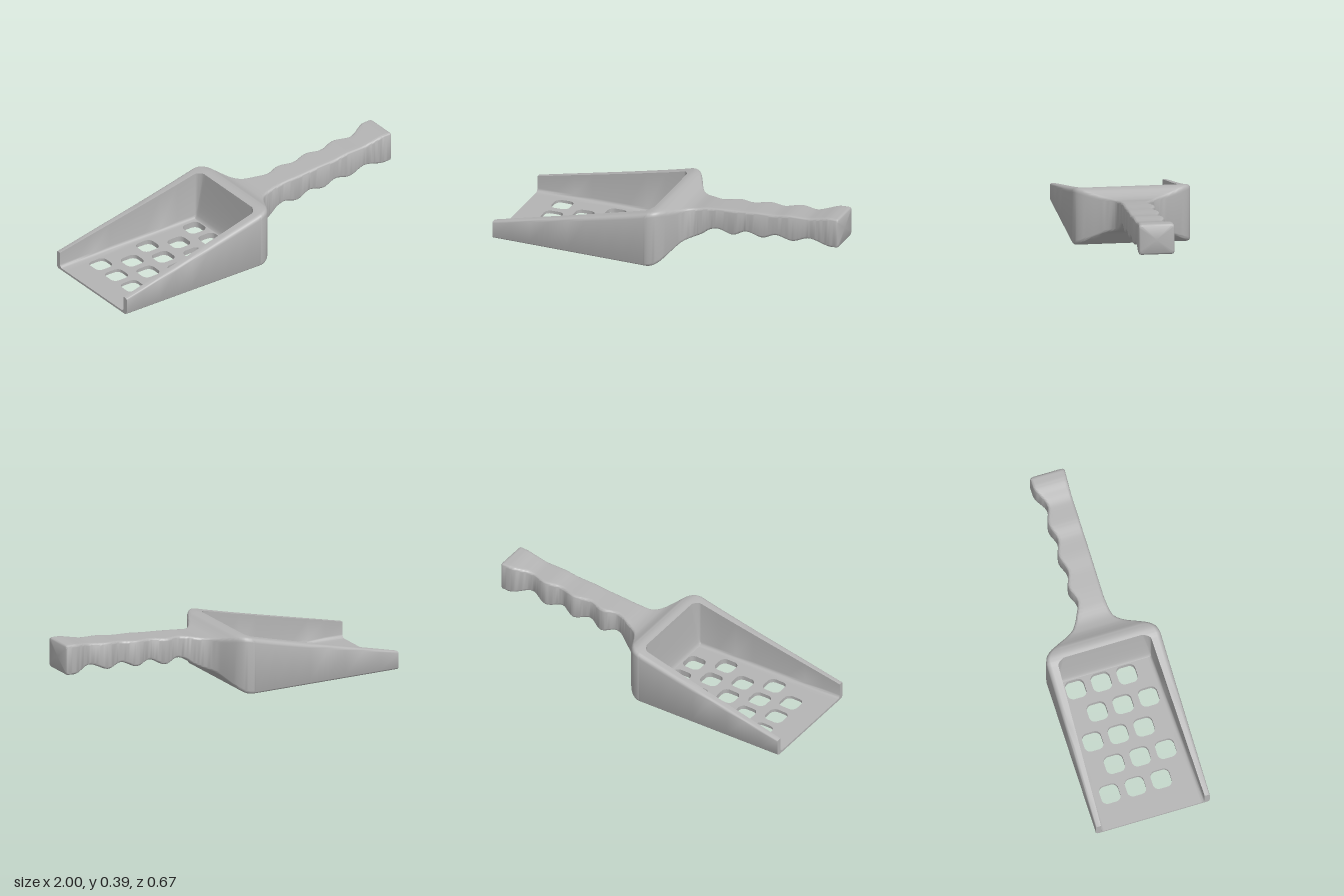
import * as THREE from 'three';
import { toCreasedNormals } from 'three/addons/utils/BufferGeometryUtils.js';

// Smooth curve through [x, value] knots, without overshoot
function profile(knots) {
  const n = knots.length;
  const sec = (i) => (knots[i + 1][1] - knots[i][1]) / (knots[i + 1][0] - knots[i][0]);
  const slope = knots.map((_, i) => {
    if (i === 0) return sec(0);
    if (i === n - 1) return sec(n - 2);
    const a = sec(i - 1), b = sec(i);
    return a * b <= 0 ? 0 : (2 * a * b) / (a + b);
  });
  return (x) => {
    let i = 0;
    while (i < n - 2 && x > knots[i + 1][0]) i++;
    const [x0, y0] = knots[i], [x1, y1] = knots[i + 1];
    const h = x1 - x0, t = Math.min(1, Math.max(0, (x - x0) / h));
    const t2 = t * t, t3 = t2 * t;
    return (2 * t3 - 3 * t2 + 1) * y0 + (t3 - 2 * t2 + t) * h * slope[i]
      + (3 * t2 - 2 * t3) * y1 + (t3 - t2) * h * slope[i + 1];
  };
}

// Outline of pan, neck and wavy grip along x
const top = profile([[-1, 0.105], [-0.1, 0.318], [-0.06, 0.329], [-0.03, 0.334], [0, 0.331],
  [0.03, 0.317], [0.07, 0.301], [0.11, 0.297], [0.2, 0.309], [0.3, 0.319], [0.4, 0.326], [0.5, 0.336],
  [0.6, 0.341], [0.7, 0.355], [0.8, 0.358], [0.87, 0.371], [0.95, 0.386], [1, 0.387]]);
const bottom = profile([[-1, 0], [-0.08, 0], [-0.05, 0.003], [-0.02, 0.015], [0, 0.03], [0.03, 0.062],
  [0.07, 0.1], [0.12, 0.12], [0.17, 0.145], [0.22, 0.18], [0.265, 0.19], [0.35, 0.17], [0.44, 0.206],
  [0.53, 0.187], [0.62, 0.218], [0.71, 0.2], [0.82, 0.235], [0.95, 0.21], [1, 0.215]]);
const flare = [[-1, 0.333], [-0.07, 0.333], [-0.03, 0.322], [0, 0.295], [0.03, 0.245], [0.06, 0.185],
  [0.09, 0.137], [0.12, 0.112]];
const frontWidth = profile([...flare, [0.17, 0.1], [0.25, 0.094], [0.5, 0.095], [0.82, 0.094], [1, 0.1]]);
const backWidth = profile([...flare, [0.16, 0.09], [0.25, 0.056], [0.34, 0.08], [0.43, 0.056],
  [0.53, 0.08], [0.62, 0.056], [0.72, 0.08], [0.82, 0.054], [0.94, 0.1], [1, 0.102]]);
const radius = profile([[-1, 0.01], [-0.1, 0.025], [0, 0.025], [0.12, 0.015], [1, 0.015]]);

const FLOOR_END = -0.095, CAVITY_END = -0.06, FLOOR_HALF = 0.25;
const floorHeight = (x) => 0.012 + 0.023 * (x + 1) / (FLOOR_END + 1);

function arc(pts, cz, cy, r, from, to, steps = 4) {
  for (let i = 0; i <= steps; i++) {
    const a = from + (to - from) * i / steps;
    pts.push([cz + r * Math.cos(a), cy + r * Math.sin(a)]);
  }
}

// Half cross-section from the underside, round the side wall, to the cavity floor
function halfSection(x, width, inset) {
  const w = width(x) - inset, b = bottom(x) + inset, t = top(x) - inset;
  const u = Math.min(1, Math.max(0, (x - FLOOR_END) / (CAVITY_END - FLOOR_END)));
  const f0 = Math.min(floorHeight(x), t);
  const f = u >= 1 ? t : f0 + (t - f0) * u * u;
  const r = radius(x);
  let inner = x <= FLOOR_END ? 0.303 - 0.031 * (x + 1) / (FLOOR_END + 1) : 0.272 - 0.042 * u * u;
  inner = Math.min(inner, w - r - 0.005);
  const fillet = Math.min(0.02, t - f), join = Math.min(FLOOR_HALF, inner - 0.02);
  const H = Math.PI / 2, rb = x < 0 ? 0.02 : 0.015, pts = [[join, b]];
  arc(pts, w - rb, b + rb, rb, -H, 0);
  arc(pts, w - r, t - r, r, 0, H);
  pts.push([inner, t]);
  arc(pts, inner - fillet, f + fillet, fillet, 0, -H);
  pts.push([join, f]);
  return pts;
}

function bodyGeometry() {
  const xs = [];
  for (let i = 0; i <= 8; i++) xs.push(-1 + (1 + FLOOR_END) * i / 8);
  for (let i = 1; i <= 7; i++) xs.push(FLOOR_END + 0.005 * i);
  for (let x = -0.05; x < 0.985; x += 0.01) xs.push(x);
  xs.push(0.99, 0.996, 1);

  const loops = xs.map((x) => {
    const inset = x > 0.999 ? 0.01 : x > 0.995 ? 0.003 : 0;
    const front = halfSection(x, frontWidth, inset).map(([z, y]) => [x, y, z]);
    const back = halfSection(x, backWidth, inset).map(([z, y]) => [x, y, -z]).reverse();
    return [...front, ...back];
  });
  const n = loops[0].length, half = n / 2, out = [];
  const tri = (a, b, c) => out.push(...a, ...b, ...c);

  for (let i = 0; i < loops.length - 1; i++) {
    const A = loops[i], B = loops[i + 1];
    for (let j = 0; j < n; j++) {
      // The perforated plate fills this gap
      if (xs[i + 1] <= FLOOR_END + 1e-6 && (j === half - 1 || j === n - 1)) continue;
      const k = (j + 1) % n;
      tri(A[j], B[j], B[k]);
      tri(A[j], B[k], A[k]);
    }
  }
  // Wall ends at the open lip
  for (const side of [0, 1]) {
    const pts = loops[0].slice(side * half, side * half + half);
    const c = [-1, 0.006, side ? -0.318 : 0.318];
    pts.forEach((p, j) => tri(c, p, pts[(j + 1) % half]));
  }
  // Butt of the grip
  const end = loops[loops.length - 1], c = [1, 0.3, 0];
  end.forEach((p, j) => tri(c, end[(j + 1) % n], p));

  const g = new THREE.BufferGeometry();
  g.setAttribute('position', new THREE.Float32BufferAttribute(out, 3));
  return toCreasedNormals(g, 0.6);
}

function roundedSquare(cx, cy, h, r) {
  const p = new THREE.Path();
  p.moveTo(cx + h, cy - h + r);
  p.absarc(cx + h - r, cy + h - r, r, 0, Math.PI / 2);
  p.absarc(cx - h + r, cy + h - r, r, Math.PI / 2, Math.PI);
  p.absarc(cx - h + r, cy - h + r, r, Math.PI, Math.PI * 1.5);
  p.absarc(cx + h - r, cy - h + r, r, Math.PI * 1.5, Math.PI * 2);
  return p;
}

// Floor plate with staggered holes, thinning towards the lip
function floorGeometry() {
  const s = new THREE.Shape();
  s.moveTo(-1, -FLOOR_HALF);
  s.lineTo(FLOOR_END, -FLOOR_HALF);
  s.lineTo(FLOOR_END, FLOOR_HALF);
  s.lineTo(-1, FLOOR_HALF);
  s.closePath();
  for (let col = 0; col < 5; col++) {
    for (let row = 0; row < 3; row++) {
      const z = (col % 2 ? -0.113 : -0.19) + row * 0.15;
      s.holes.push(roundedSquare(-0.8 + col * 0.161, -z, 0.055, 0.034));
    }
  }
  const g = new THREE.ExtrudeGeometry(s, { depth: 1, bevelEnabled: false, curveSegments: 6 });
  g.rotateX(-Math.PI / 2);
  const p = g.attributes.position;
  for (let i = 0; i < p.count; i++) p.setY(i, p.getY(i) * floorHeight(p.getX(i)));
  return toCreasedNormals(g, 0.6);
}

export function createModel() {
  const group = new THREE.Group();
  group.name = 'siftingScoop';
  const grey = new THREE.MeshStandardMaterial({ color: 0xb4b4b4 });
  grey.name = 'grey plastic';

  const body = new THREE.Mesh(bodyGeometry(), grey);
  body.name = 'panWallsAndHandle';
  const floor = new THREE.Mesh(floorGeometry(), grey);
  floor.name = 'perforatedFloor';
  group.add(body, floor);
  return group;
}
